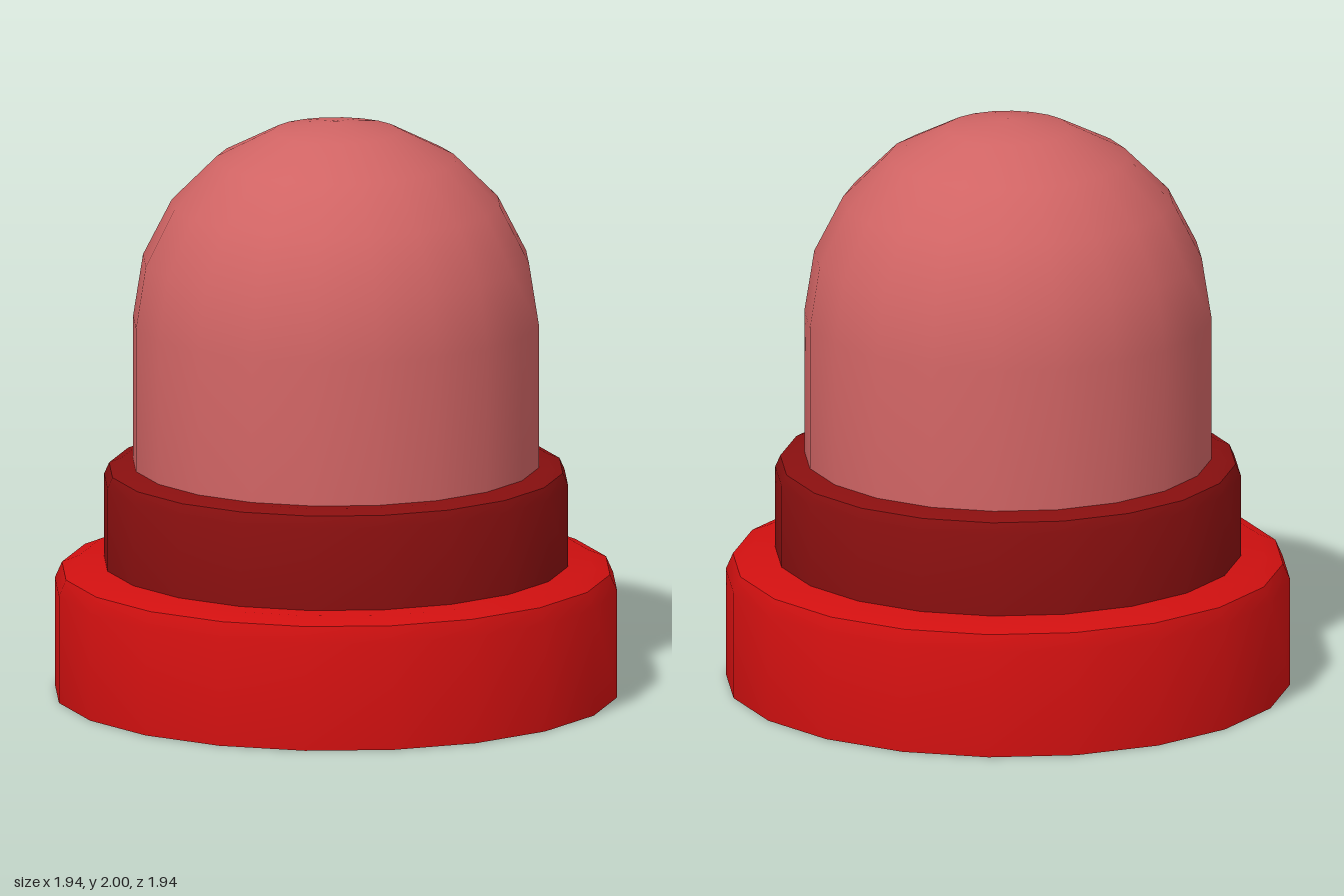
import * as THREE from 'three';
import { toCreasedNormals } from 'three/addons/utils/BufferGeometryUtils.js';

const SIDES = 20;

// Turned part from a bottom-to-top profile of [radius, y] pairs
function turned(name, profile, color) {
  const points = profile.map(([r, y]) => new THREE.Vector2(r, y));
  const geometry = toCreasedNormals(new THREE.LatheGeometry(points, SIDES), 0.65);
  const mesh = new THREE.Mesh(geometry, new THREE.MeshStandardMaterial({ color }));
  mesh.name = name;
  return mesh;
}

// Solid disc with a two-step rounded upper rim
function rimmedDisc(name, radius, bottom, top, bevel, color) {
  return turned(name, [
    [0, bottom],
    [radius, bottom],
    [radius, top - bevel * 0.95],
    [radius - bevel * 0.29, top - bevel * 0.29],
    [radius - bevel, top],
    [0, top],
  ], color);
}

export function createModel() {
  const group = new THREE.Group();
  group.name = 'beaconLamp';

  // Stepped housing
  group.add(rimmedDisc('base', 0.97, 0, 0.455, 0.085, 0xd01010));
  group.add(rimmedDisc('collar', 0.8, 0.455, 0.8, 0.06, 0x880f0f));

  // Lens: straight wall closed by a hemisphere
  const radius = 0.7, springLine = 1.3, rings = 5;
  const profile = [[radius, 0.8]];
  for (let i = 0; i <= rings; i++) {
    const a = (i / rings) * Math.PI / 2;
    profile.push([i === rings ? 0 : radius * Math.cos(a), springLine + radius * Math.sin(a)]);
  }
  group.add(turned('domeLens', profile, 0xd06464));

  return group;
}
